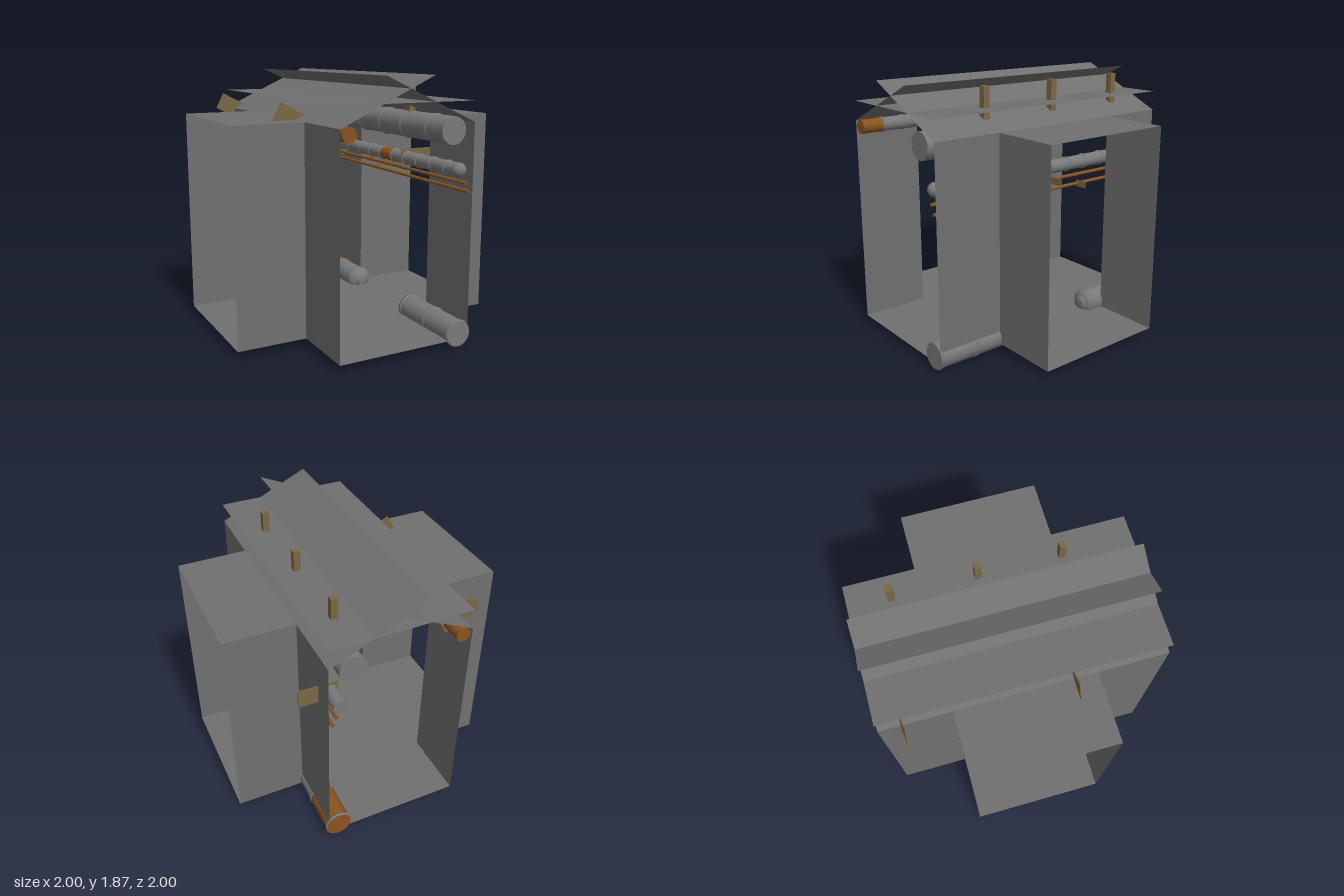
import * as THREE from 'three';

const mat = (name, color, side = THREE.FrontSide) => {
  const m = new THREE.MeshStandardMaterial({ color, side });
  m.name = name;
  return m;
};

export function createModel() {
  const group = new THREE.Group();
  const panelGray = mat('panel gray', 0x707070, THREE.DoubleSide);
  const pipeGray = mat('pipe gray', 0x797979);
  const rust = mat('rust orange', 0x8a5320);
  const brass = mat('bracket brown', 0x7a6844);

  const add = (name, geometry, material, x = 0, y = 0, z = 0, parent = group) => {
    const mesh = new THREE.Mesh(geometry, material);
    mesh.name = name;
    mesh.position.set(x, y, z);
    parent.add(mesh);
    return mesh;
  };

  // Single-sheet panels
  const flat = (name, w, d, x, y, z) =>
    add(name, new THREE.PlaneGeometry(w, d).rotateX(-Math.PI / 2), panelGray, x, y, z);

  // Cross-shaped floor and flat ceilings
  flat('floor', 1, 2, 0, 0.06, 0);
  flat('roofDeck', 1, 2, 0, 1.7, 0);
  for (const s of [-1, 1]) {
    flat('sideFloor', 0.5, 1, s * 0.75, 0.06, 0);
    flat('sideCeiling', 0.5, 1, s * 0.75, 1.56, 0);
    // Sloping roof sheets that cross over the middle
    const run = 0.68, rise = 0.31;
    const sheet = flat('roofSheet', Math.hypot(run, rise), 2, s * 0.16, 1.56 + rise / 2, 0);
    sheet.rotation.z = -s * Math.atan2(rise, run);
    // Corner walls
    for (const t of [-1, 1]) {
      add('crossWall', new THREE.PlaneGeometry(0.5, 1.5), panelGray, s * 0.75, 0.81, t * 0.5);
      add('longWall', new THREE.PlaneGeometry(0.5, 1.5).rotateY(Math.PI / 2), panelGray, s * 0.5, 0.81, t * 0.75);
    }
  }

  // Pipes run along z; each segment is [start, end, material]
  const pipe = (name, x, y, r, segments, rings = []) => {
    const g = new THREE.Group();
    g.name = name;
    g.position.set(x, y, 0);
    group.add(g);
    for (const [a, b, m] of segments)
      add(name + 'Segment', new THREE.CylinderGeometry(r, r, b - a, 32).rotateX(Math.PI / 2), m, 0, 0, (a + b) / 2, g);
    for (const z of rings)
      add(name + 'Ring', new THREE.TorusGeometry(r - 0.006, 0.013, 8, 32), pipeGray, 0, 0, z, g);
    return g;
  };

  // Large overhead pipe with hanger posts
  pipe('overheadPipe', 0.335, 1.51, 0.094, [[-1, 1, pipeGray]], [0.8, 0.49, 0.2, -0.1, -0.7]);
  for (const z of [0.49, -0.1, -0.7])
    add('hangerPost', new THREE.BoxGeometry(0.048, 0.25, 0.048), brass, 0.333, 1.72, z);

  // Medium pipes made of twelve coloured segments
  const step = 1 / 6;
  const segmented = (rustSegments) => Array.from({ length: 12 }, (_, i) =>
    [-1 + i * step, -1 + (i + 1) * step, rustSegments.includes(i) ? rust : pipeGray]);
  const joints = Array.from({ length: 11 }, (_, i) => -1 + (i + 1) * step);
  const wallSegments = segmented([6]);
  wallSegments[11][1] = 0.95;
  const wallPipe = pipe('wallPipe', 0.42, 1.24, 0.048, wallSegments, joints);
  add('wallPipeCap', new THREE.SphereGeometry(0.05, 24, 16), pipeGray, 0, 0, 0.95, wallPipe);
  pipe('eavesPipe', -0.437, 1.522, 0.05, segmented([0, 4, 5, 7, 11]), joints);

  // Thin conduits
  pipe('upperConduit', 0.445, 1.155, 0.012, [[-1, 1, rust]]);
  pipe('lowerConduit', 0.472, 1.095, 0.012, [[-1, 1, rust]]);

  // Bracket plates through the walls
  const bracket = (w, h, x, y, z, tilt = 0) => {
    add('bracketPlate', new THREE.BoxGeometry(w, h, 0.009), brass, x, y, z).rotation.z = tilt;
  };
  for (const z of [0.333, -0.838]) {
    bracket(0.275, 0.13, 0.5, 1.245, z);
    bracket(0.275, 0.13, -0.5, 1.56, z, -0.49);
  }
  for (const z of [0, -0.755]) bracket(0.125, 0.05, 0.492, 1.155, z);
  bracket(0.09, 0.045, 0.5, 1.093, -0.25);
  add('conduitCollar', new THREE.CylinderGeometry(0.016, 0.016, 0.02, 16).rotateX(Math.PI / 2), rust, 0.445, 1.155, 0.25);
  add('conduitCollar', new THREE.CylinderGeometry(0.016, 0.016, 0.02, 16).rotateX(Math.PI / 2), rust, 0.445, 1.155, -0.25);

  // Floor pipes with stepped domed end caps
  const capProfile = [[0.094, 0], [0.092, 0.02], [0.075, 0.038], [0.05, 0.042], [0.05, 0.055], [0.035, 0.062], [0, 0.062]]
    .map(([r, h]) => new THREE.Vector2(r, h));
  const floorPipe = (name, segments, rings, capMaterial, capZ, direction) => {
    const g = pipe(name, 0.425, 0.1, 0.092, segments, rings);
    const cap = add(name + 'Cap', new THREE.LatheGeometry(capProfile, 32), capMaterial, 0, 0, capZ, g);
    cap.rotation.x = direction * Math.PI / 2;
  };
  floorPipe('frontFloorPipe', [[0.4, 1, pipeGray]], [0.987, 0.7, 0.4], rust, 0.4, -1);
  floorPipe('backFloorPipe', [[-0.7, -0.4, pipeGray], [-1, -0.7, rust]], [-0.987, -0.7, -0.4], pipeGray, -0.4, 1);

  return group;
}
